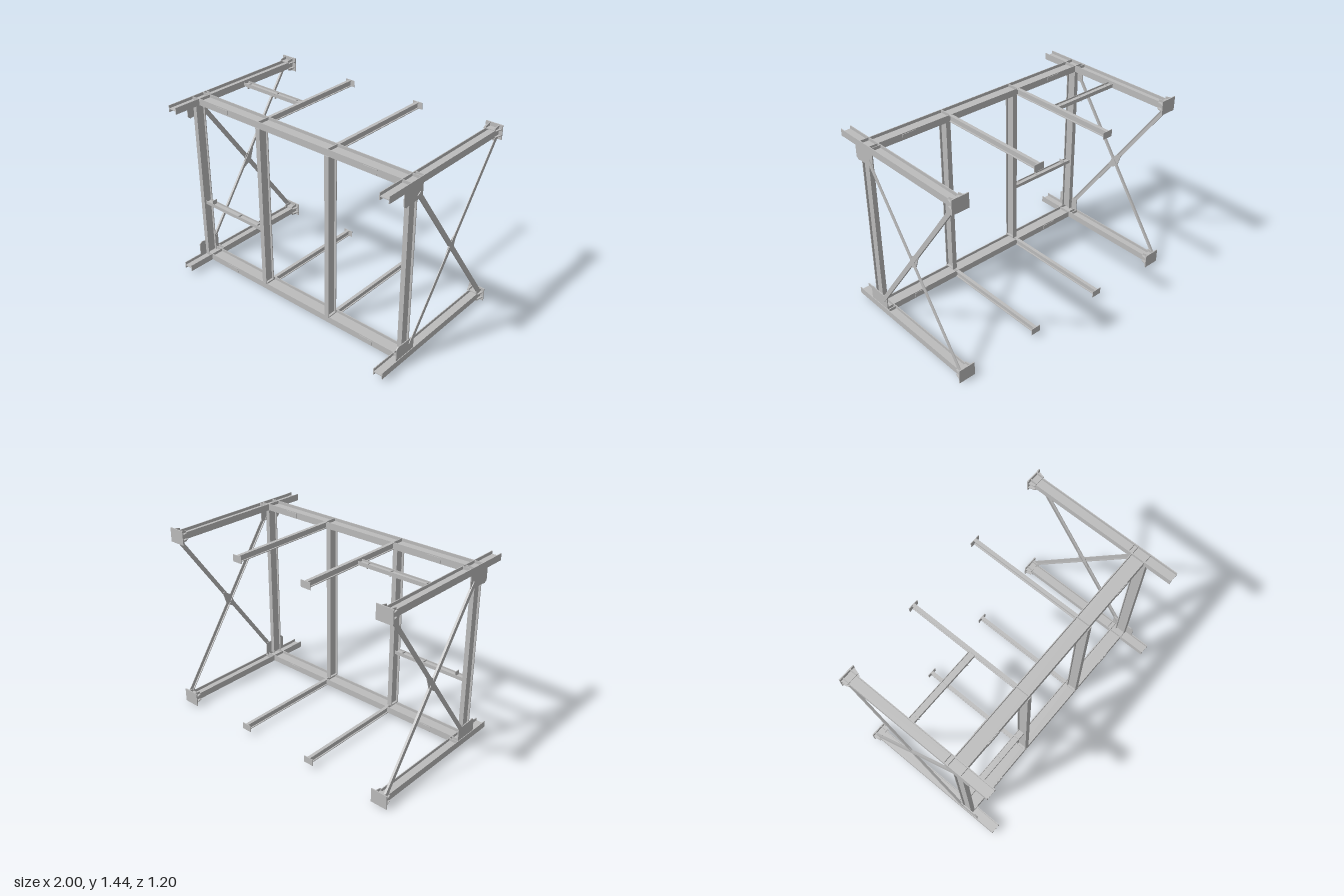
import * as THREE from 'three';

const steel = new THREE.MeshStandardMaterial({ color: 0xbcbcbc });
steel.name = 'steel grey';
const V = (x, y, z) => new THREE.Vector3(x, y, z);
const X = V(1, 0, 0), Y = V(0, 1, 0), Z = V(0, 0, 1);

export function createModel() {
  const root = new THREE.Group();
  root.name = 'steelFrame';
  const MID = 0.72; // height of the mirror plane between lower and upper frame

  const add = (name, geo) => {
    const mesh = new THREE.Mesh(geo, steel);
    mesh.name = name;
    root.add(mesh);
  };
  const box = (name, w, h, d, x, y, z) =>
    add(name, new THREE.BoxGeometry(w, h, d).translate(x, y, z));

  // Outline extruded by depth, its first axis along u and its second along v
  const extrude = (name, pts, depth, origin, u, v, centred) => {
    const shape = new THREE.Shape(pts.map(p => new THREE.Vector2(p[0], p[1])));
    const geo = new THREE.ExtrudeGeometry(shape, { depth, bevelEnabled: false });
    if (centred) geo.translate(0, 0, -depth / 2);
    const m = new THREE.Matrix4().makeBasis(u, v, u.clone().cross(v)).setPosition(origin);
    add(name, geo.applyMatrix4(m));
  };

  // H section from a to b; depthDir points from one flange to the other
  const beam = (name, a, b, depthDir, depth, width, t = 0.006) => {
    const dir = b.clone().sub(a), len = dir.length();
    dir.normalize();
    const d = depth / 2, w = width / 2, f = d - t, k = t / 2;
    const pts = [[-w, -d], [w, -d], [w, -f], [k, -f], [k, f], [w, f],
      [w, d], [-w, d], [-w, f], [-k, f], [-k, -f], [-w, -f]];
    extrude(name, pts, len, a, depthDir.clone().cross(dir), depthDir);
  };

  // Angle bar in a side plane, one leg flat and one leg turned inward
  const angleBar = (name, a, b, s) => {
    const dir = b.clone().sub(a), len = dir.length();
    dir.normalize();
    const out = V(s, 0, 0), w = 0.016, t = 0.005;
    const pts = [[-w, 0], [-w, -0.016], [t - w, -0.016], [t - w, -t], [w, -t], [w, 0]];
    extrude(name, pts, len, a, out.clone().cross(dir), out);
  };

  for (const up of [-1, 1]) {
    const y = MID + up * 0.667;
    const level = up > 0 ? 'upper' : 'lower';

    // Front crossbeam with splice plates
    beam(level + 'Crossbeam', V(-0.9, y, 0.33), V(0.9, y, 0.33), Z, 0.108, 0.05);
    for (const s of [-1, 1]) {
      for (const z of [0.275, 0.385])
        box('splicePlate', 0.11, 0.036, 0.006, s * 0.66, y, z);
      box('columnStiffener', 0.005, 0.049, 0.1, s * 0.31, y, 0.33);

      // Side beam lying with its web flat
      beam(level + 'SideBeam', V(s * 0.937, y, -0.595), V(s * 0.937, y, 0.6), X, 0.076, 0.05);
      for (const z of [0.25, 0.28, 0.384])
        box('sideBeamStiffener', 0.07, 0.048, 0.005, s * 0.937, y, z);

      // Rear end plate with tapered ribs
      box('endPlate', 0.13, 0.106, 0.008, s * 0.935, y, -0.596);
      for (const dx of [-0.035, 0.035])
        extrude('verticalRib', [[-0.597, y - 0.05], [-0.597, y + 0.05],
          [-0.542, y + 0.04], [-0.542, y - 0.04]], 0.006, V(s * 0.937 + dx, 0, 0), Z, Y, true);
      for (const dy of [-0.022, 0.022])
        extrude('flatRib', [[s * 0.935 - 0.064, -0.597], [s * 0.935 + 0.064, -0.597],
          [s * 0.935 + 0.05, -0.545], [s * 0.935 - 0.05, -0.545]],
          0.006, V(0, y + dy, 0), X, Z, true);

      // Slim rear joist with end plate
      beam(level + 'Joist', V(s * 0.31, y, 0.28), V(s * 0.31, y, -0.595), Y, 0.048, 0.026, 0.005);
      box('joistEndPlate', 0.08, 0.05, 0.005, s * 0.31, y, -0.597);

      // Gusset plate at the corner column and lug at the rear end of the brace
      const g = [[0.255, 0.645], [0.445, 0.645], [0.445, 0.55], [0.425, 0.533],
        [0.39, 0.538], [0.255, 0.541]].map(p => [p[0], MID + up * p[1]]);
      extrude('cornerGusset', g, 0.007, V(s * 0.967, 0, 0), Z, Y, true);
      box('braceLug', 0.007, 0.03, 0.06, s * 0.967, MID + up * 0.638, -0.565);

      // Cap plate of the middle column
      box('columnCapPlate', 0.04, 0.008, 0.084, s * 0.31, MID + up * 0.639, 0.348);
    }
  }

  for (const s of [-1, 1]) {
    // Columns
    beam('cornerColumn', V(s * 0.949, 0.078, 0.348), V(s * 0.949, 1.362, 0.348), Z, 0.082, 0.036);
    beam('middleColumn', V(s * 0.31, 0.078, 0.348), V(s * 0.31, 1.362, 0.348), Z, 0.082, 0.038);

    // Crossed side braces and the plate where they meet
    for (const up of [-1, 1])
      angleBar('sideBrace', V(s * 0.976, MID + up * 0.583, 0.3),
        V(s * 0.976, MID - up * 0.632, -0.567), s);
    extrude('braceCentrePlate', [[-0.06, 0.655], [-0.075, 0.645], [-0.15, 0.69], [-0.183, 0.79],
      [-0.168, 0.8], [-0.105, 0.755]], 0.006, V(s * 0.969, 0, 0), Z, Y, true);
  }

  // Short rails on one side, with small clips
  beam('upperShortRail', V(-0.9, 1.382, -0.085), V(-0.322, 1.382, -0.085), Z, 0.048, 0.028, 0.004);
  beam('middleShortRail', V(-0.932, 0.537, 0.348), V(-0.332, 0.537, 0.348), Z, 0.048, 0.027, 0.004);
  for (const x of [-0.86, -0.58, -0.39]) {
    const tall = x < -0.8;
    box('upperRailClip', 0.005, 0.034, 0.042, x, 1.373, -0.079);
    box('middleRailClip', 0.005, tall ? 0.045 : 0.026, 0.042, x, tall ? 0.551 : 0.538, 0.348);
  }

  return root;
}
